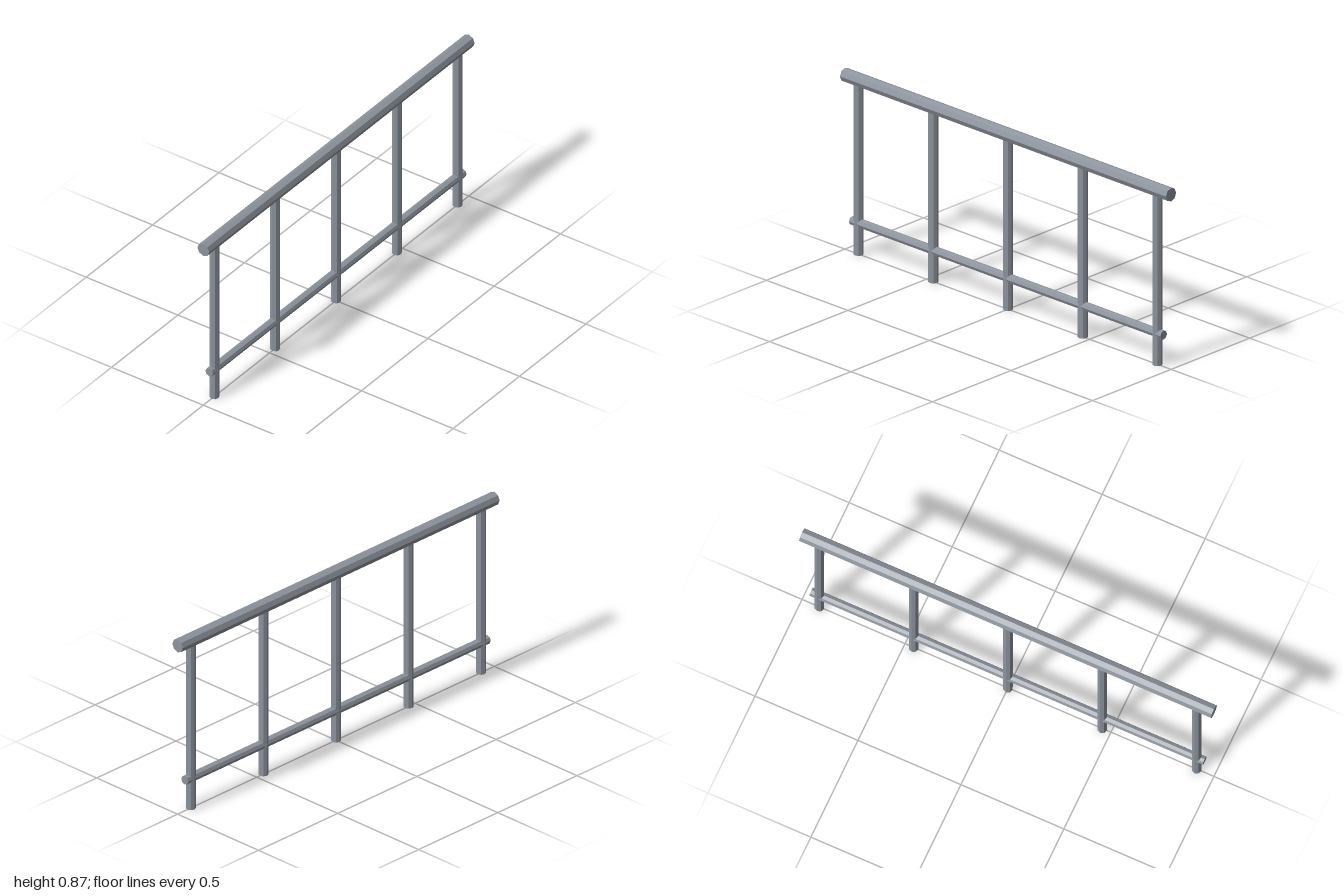
import * as THREE from 'three';

export function createModel() {
  const group = new THREE.Group();
  const steel = new THREE.MeshStandardMaterial({ color: 0x8c949d, flatShading: true });
  steel.name = 'steelGrey';

  // Eight-sided bar, centred at the given point
  const bar = (name, radius, length, x, y, horizontal) => {
    const geometry = new THREE.CylinderGeometry(radius, radius, length, 8);
    if (horizontal) geometry.rotateZ(Math.PI / 2);
    const mesh = new THREE.Mesh(geometry, steel);
    mesh.name = name;
    mesh.position.set(x, y, 0);
    group.add(mesh);
  };

  // Horizontal rails
  bar('handrail', 0.032, 2, 0, 0.835, true);
  bar('lowerRail', 0.021, 1.91, 0, 0.151, true);

  // Evenly spaced posts, reaching into the handrail
  const postCount = 5, spacing = 0.458, postHeight = 0.825;
  for (let i = 0; i < postCount; i++) {
    bar(`post${i + 1}`, 0.0225, postHeight, (i - (postCount - 1) / 2) * spacing, postHeight / 2, false);
  }
  return group;
}
